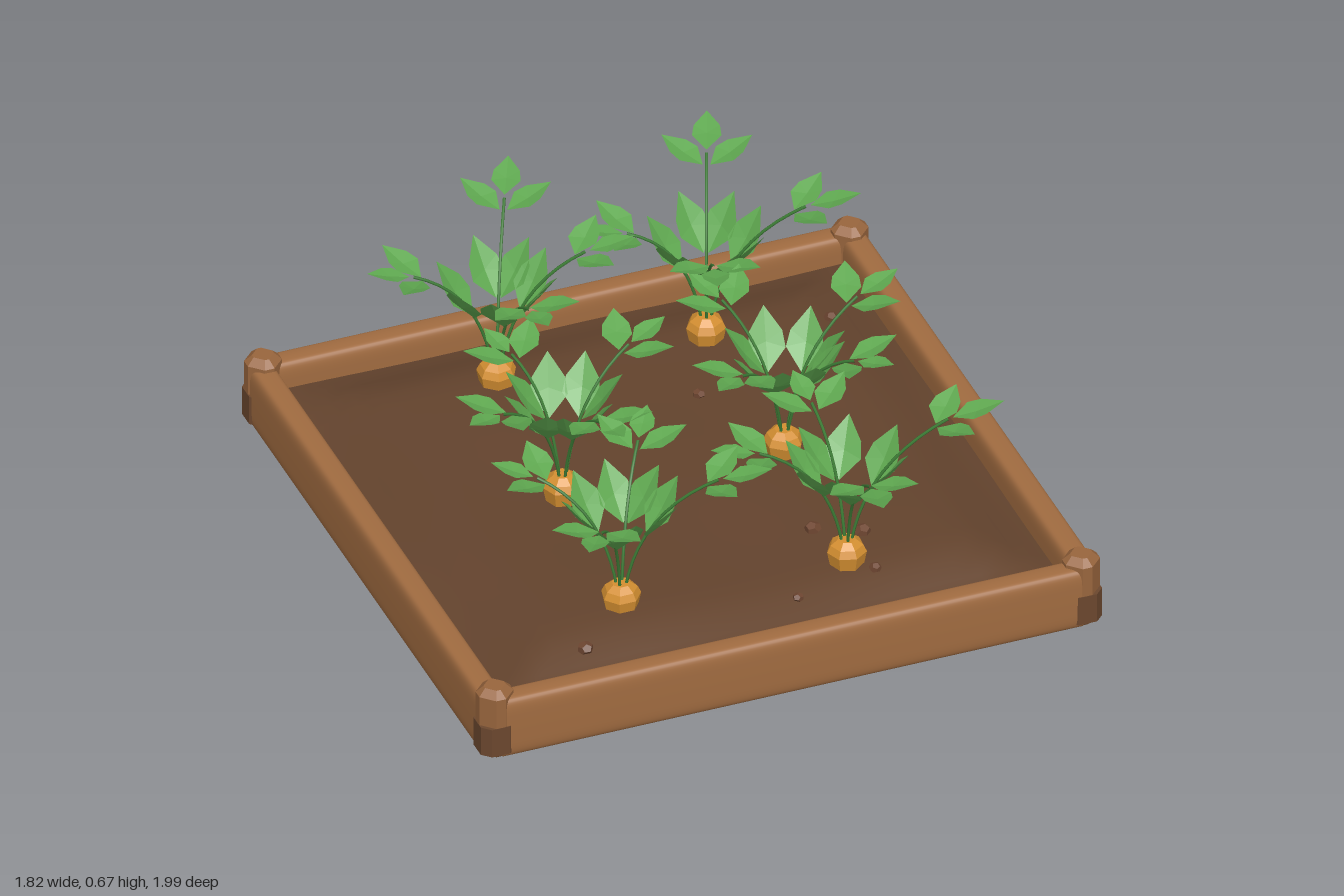
import * as THREE from 'three';

const mat = (name, color, extra = {}) => {
  const m = new THREE.MeshStandardMaterial({ color, ...extra });
  m.name = name;
  return m;
};

// Soil height: a low mound, sinking toward the boards
const ZC = -0.045;
function soilHeight(x, z) {
  const edge = Math.max(Math.abs(x), Math.abs(z - ZC));
  const fall = THREE.MathUtils.smoothstep(edge, 0.6, 0.86) * 0.065;
  return 0.187 - fall + 0.006 * Math.sin(x * 7 + 1) * Math.cos(z * 6);
}

// Folded, pointed leaflet lying along +x, unit length
function leafGeometry() {
  const base = [0.08, 0, 0], tip = [1, 0, 0], rib = [0.5, -0.03, 0];
  const l = [0.4, 0.02, -0.26], r = [0.4, 0.02, 0.26];
  const l2 = [0.64, 0.02, -0.23], r2 = [0.64, 0.02, 0.23];
  const tris = [base, rib, l, base, r, rib, rib, l2, l, rib, r, r2, rib, tip, l2, rib, r2, tip];
  const g = new THREE.BufferGeometry();
  g.setAttribute('position', new THREE.Float32BufferAttribute(tris.flat(), 3));
  g.computeVertexNormals();
  return g;
}

// Upright square prism with chamfered corners, half width h, and a bevel b at both ends
function chamferedPrism(h, height, b) {
  const k = h - b, c = 0.024;
  const pts = [[k, k - c], [k, c - k], [k - c, -k], [c - k, -k], [-k, c - k], [-k, k - c], [c - k, k], [k - c, k]];
  const shape = new THREE.Shape(pts.map(([x, y]) => new THREE.Vector2(x, y)));
  const g = new THREE.ExtrudeGeometry(shape, {
    depth: height - 2 * b, bevelEnabled: b > 0, bevelThickness: b, bevelSize: b, bevelSegments: 1,
  });
  g.translate(0, 0, b);
  g.rotateX(-Math.PI / 2);
  return g;
}

// Softly bulging timber along x: a cylinder pushed out to a rounded rectangle
function boardGeometry(length, height, depth) {
  const g = new THREE.CylinderGeometry(1, 1, length, 40, 1);
  g.rotateZ(Math.PI / 2);
  const p = g.attributes.position, n = g.attributes.normal;
  const swell = (v, e) => Math.sign(v) * Math.abs(v) ** e;
  for (let i = 0; i < p.count; i++) {
    const y = p.getY(i), z = p.getZ(i);
    p.setXYZ(i, p.getX(i), swell(y, 0.4) * height / 2, swell(z, 0.4) * depth / 2);
    if (Math.abs(n.getX(i)) < 0.5) {
      const v = new THREE.Vector3(0, swell(y, 1.6) / height, swell(z, 1.6) / depth).normalize();
      n.setXYZ(i, v.x, v.y, v.z);
    }
  }
  return g;
}

export function createModel() {
  const model = new THREE.Group();
  model.name = 'carrotBed';
  const wood = mat('wood', 0xa06b40);
  const postWood = mat('postWood', 0x98653d, { flatShading: true });
  const darkWood = mat('darkWood', 0x6b472e, { flatShading: true });
  const soil = mat('soil', 0x63432d, { side: THREE.DoubleSide });
  const clodBrown = mat('clodBrown', 0x6e4631, { flatShading: true });
  const orange = mat('carrotOrange', 0xd48f31, { flatShading: true });
  const stemGreen = mat('stemGreen', 0x3d7d36);
  const leafGreen = mat('leafGreen', 0x5fa850, { side: THREE.DoubleSide, flatShading: true });

  const add = (parent, name, geo, m, x = 0, y = 0, z = 0) => {
    const mesh = new THREE.Mesh(geo, m);
    mesh.name = name;
    mesh.position.set(x, y, z);
    parent.add(mesh);
    return mesh;
  };

  // Frame boards, corner posts and their dark lower ends
  const board = boardGeometry(1.7, 0.19, 0.078);
  const post = chamferedPrism(0.05, 0.22, 0.02);
  const postFoot = chamferedPrism(0.051, 0.09, 0);
  add(model, 'frontBoard', board, wood, 0, 0.115, 0.82);
  add(model, 'backBoard', board, wood, 0, 0.115, -0.91);
  for (const s of [-1, 1]) {
    add(model, s > 0 ? 'leftBoard' : 'rightBoard', board, wood, s * 0.867, 0.115, ZC).rotation.y = Math.PI / 2;
    for (const z of [0.81, -0.9]) {
      add(model, 'cornerPost', post, postWood, s * 0.86, 0.02, z);
      add(model, 'cornerPostFoot', postFoot, darkWood, s * 0.86, 0.038, z);
    }
  }

  // Soil sheet
  const ground = new THREE.PlaneGeometry(1.72, 1.72, 28, 28);
  ground.rotateX(-Math.PI / 2);
  ground.translate(0, 0, ZC);
  const p = ground.attributes.position;
  for (let i = 0; i < p.count; i++) p.setY(i, soilHeight(p.getX(i), p.getZ(i)));
  ground.computeVertexNormals();
  add(model, 'soil', ground, soil);

  // Small clods: x, z, radius
  const clod = new THREE.DodecahedronGeometry(1);
  for (const [x, z, r] of [[0.675, -0.57, 0.02], [0.25, 0.365, 0.024], [0.37, 0.43, 0.024],
    [0.1, 0.635, 0.016], [-0.53, 0.65, 0.023], [0.2, -0.35, 0.018], [0.34, 0.6, 0.018]]) {
    const m = add(model, 'clod', clod, clodBrown, x, soilHeight(x, z) + 0.006, z);
    m.scale.set(r, r * 0.8, r);
    m.rotation.y = x * 9;
  }

  // Carrot root, tapering to a blunt point below the soil
  const profile = [[0, 0.004], [0.01, 0.012], [0.032, 0.1], [0.047, 0.18], [0.056, 0.225], [0.046, 0.246], [0.026, 0.262], [0, 0.262]];
  const root = new THREE.LatheGeometry(profile.map(([x, y]) => new THREE.Vector2(x, y)), 7);
  const leaf = leafGeometry();

  const addLeaf = (parent, pos, yaw, pitch, len) => {
    const m = add(parent, 'leaflet', leaf, leafGreen, pos.x, pos.y, pos.z);
    m.rotation.set(0, yaw, pitch, 'YZX');
    m.scale.setScalar(len);
  };

  // One arching frond reaching out along local +x; longer ones rise higher
  function frond(reach) {
    const g = new THREE.Group();
    g.name = 'frond';
    const top = 0.585 + (reach - 0.38) * 0.6;
    const curve = new THREE.QuadraticBezierCurve3(
      new THREE.Vector3(0.012, 0.245, 0), new THREE.Vector3(0.05, 0.5, 0), new THREE.Vector3(reach * 0.65, top, 0));
    add(g, 'stem', new THREE.TubeGeometry(curve, 10, 0.0045, 5), stemGreen);
    addLeaf(g, curve.getPoint(1), 0, 0.24, reach * 0.37);
    for (const s of [-1, 1]) {
      addLeaf(g, curve.getPoint(0.91), s * 0.95, 0.3, 0.16);
      addLeaf(g, curve.getPoint(0.35), s * 0.68, 0.92, 0.2);
    }
    return g;
  }

  // Plants: x, z, then frond directions (degrees from +x toward +z) and reaches
  const plants = [
    [-0.29, -0.61, [[188, 0.36], [296, 0.42], [90, 0.38], [10, 0.38]]],
    [0.32, -0.6, [[18, 0.42], [292, 0.42], [190, 0.34], [107, 0.4]]],
    [-0.325, -0.035, [[340, 0.37], [153, 0.38], [250, 0.32], [84, 0.36]]],
    [0.315, -0.015, [[344, 0.39], [139, 0.38], [53, 0.35], [246, 0.36]]],
    [-0.37, 0.51, [[22, 0.41], [124, 0.4], [214, 0.36], [303, 0.36]]],
    [0.28, 0.54, [[10, 0.435], [99, 0.455], [187, 0.38], [267, 0.35]]],
  ];
  for (const [x, z, fronds] of plants) {
    const plant = new THREE.Group();
    plant.name = 'carrotPlant';
    plant.position.set(x, 0, z);
    add(plant, 'carrotRoot', root, orange).rotation.y = x * 5 + z;
    for (const [deg, reach] of fronds) {
      const f = frond(reach);
      f.rotation.y = -THREE.MathUtils.degToRad(deg);
      plant.add(f);
    }
    model.add(plant);
  }
  return model;
}
